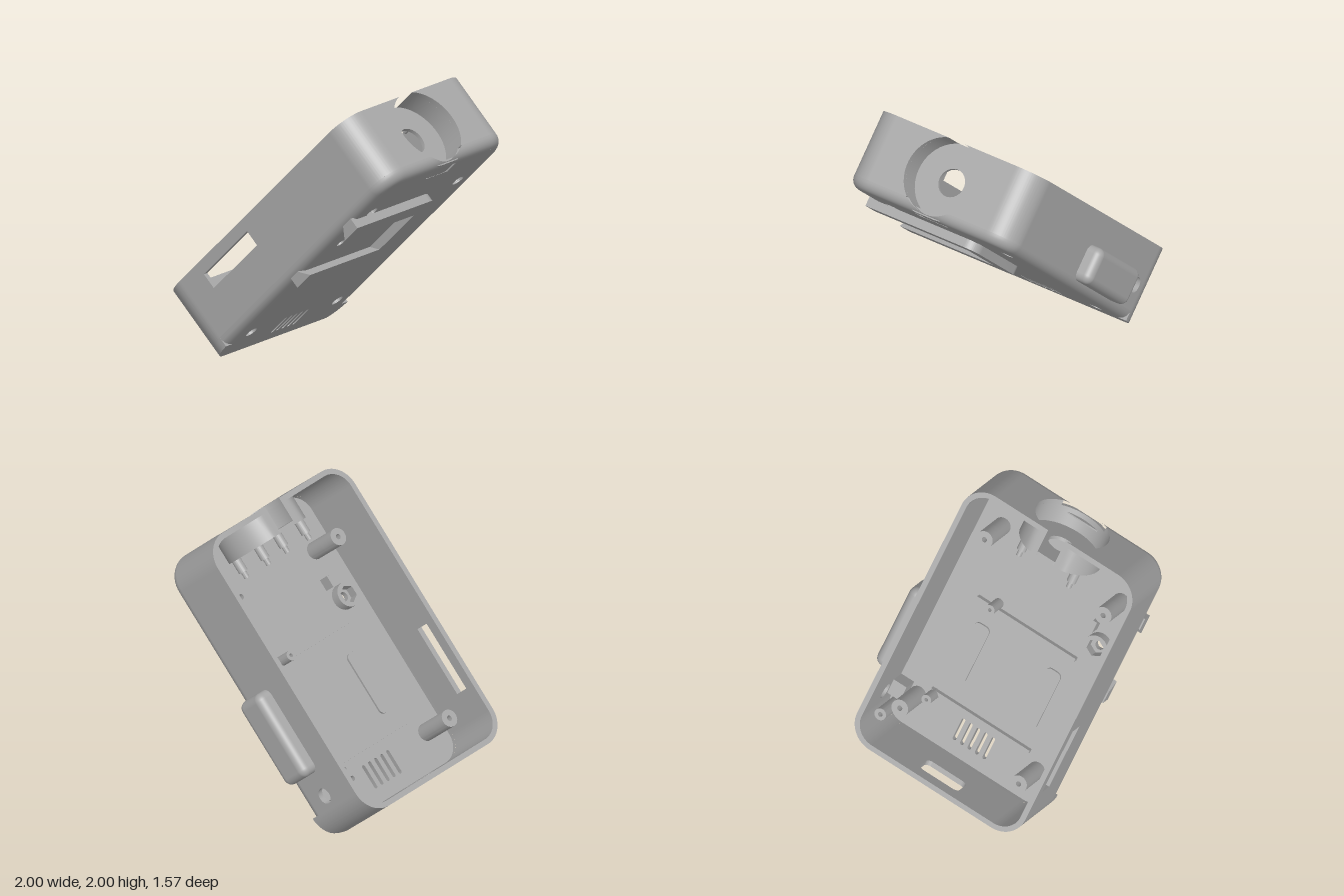
import * as THREE from 'three';
import { toCreasedNormals } from 'three/addons/utils/BufferGeometryUtils.js';
import { RoundedBoxGeometry } from 'three/addons/geometries/RoundedBoxGeometry.js';

// Case frame: u = along the case, b = across (-z), w = floor to open rim; tilted 45 degrees at the end.
const U0 = -0.43, U1 = 1.85, B0 = -0.78, B1 = 0.67, W0 = 0.4, WF = 0.445, W1 = 0.985;
const R = 0.2, T = 0.04, F = 0.08;            // corner radius, wall thickness, floor fillet
const CB = -0.055, CW = 0.705, CR = 0.29;     // round recess in the upper end

export function createModel() {
  const grey = new THREE.MeshStandardMaterial({ color: 0xa6a6a6 });
  grey.name = 'grey plastic';
  const model = new THREE.Group();
  model.name = 'tiltedCase';
  const body = new THREE.Group();
  body.name = 'caseBody';
  model.add(body);

  const add = (name, geo) => {
    const m = new THREE.Mesh(geo, grey);
    m.name = name;
    body.add(m);
    return m;
  };
  const A = new THREE.Vector3(1, 0, 0), B = new THREE.Vector3(0, 1, 0), C = new THREE.Vector3(0, 0, 1);
  // Shape axes: 'w' takes (u,b), 'u' takes (b,w), 'b' takes (w,u)
  const basis = { w: [A, B, C], u: [B, C, A], b: [C, A, B] };
  const extrude = (name, shape, axis, from, to) => {
    const g = new THREE.ExtrudeGeometry(shape, { depth: to - from, bevelEnabled: false, curveSegments: 20 });
    g.translate(0, 0, from);
    g.applyMatrix4(new THREE.Matrix4().makeBasis(...basis[axis]));
    return add(name, toCreasedNormals(g, 0.6));
  };
  const circle = (x, y, r, P = THREE.Path) => new P().absarc(x, y, r, 0, Math.PI * 2, false);
  const ring = (x, y, r, hole) => {
    const s = circle(x, y, r, THREE.Shape);
    if (hole) s.holes.push(circle(x, y, hole));
    return s;
  };
  const rect = (x0, y0, x1, y1, r = 0, P = THREE.Shape) => {
    const s = new P();
    if (!r) return s.setFromPoints([[x0, y0], [x1, y0], [x1, y1], [x0, y1], [x0, y0]].map(p => new THREE.Vector2(...p)));
    s.absarc(x1 - r, y0 + r, r, -Math.PI / 2, 0, false);
    s.absarc(x1 - r, y1 - r, r, 0, Math.PI / 2, false);
    s.absarc(x0 + r, y1 - r, r, Math.PI / 2, Math.PI, false);
    s.absarc(x0 + r, y0 + r, r, Math.PI, Math.PI * 1.5, false);
    return s.closePath();
  };
  const postSpots = [-0.131, 1.389].flatMap(u => [-0.57, 0.455].map(b => [u, b]));

  // Floor plate with screw holes, vents and nut hole
  const floor = rect(U0 + F, B0 + F, U1 - F, B1 - F, R - F);
  postSpots.forEach(([u, b]) => floor.holes.push(circle(u, b, 0.048)));
  for (let i = 0; i < 5; i++) {
    const b = -0.186 + i * 0.064;
    floor.holes.push(rect(-0.285, b - 0.014, -0.095, b + 0.014, 0.0135, THREE.Path));
  }
  floor.holes.push(circle(1.0, -0.575, 0.035));
  floor.holes.push(rect(1.655, CB - 0.13, 1.76, CB + 0.13, 0, THREE.Path));
  extrude('floor', floor, 'w', W0, WF);

  // Skirt: filleted edge between floor and walls, square at the lower end
  const cols = [];
  const corner = (u, b, start, sharp) => {
    for (let i = 0; i <= 12; i++) cols.push({ u, b, a: start + i / 12 * Math.PI / 2, sharp });
  };
  corner(U1 - R, B1 - R, 0, false);
  cols.push({ u: U0 + R, b: B1 - R, a: Math.PI / 2, sharp: false });
  corner(U0 + R, B1 - R, Math.PI / 2, true);
  corner(U0 + R, B0 + R, Math.PI, true);
  cols.push({ u: U0 + R, b: B0 + R, a: Math.PI * 1.5, sharp: false });
  corner(U1 - R, B0 + R, Math.PI * 1.5, false);
  for (let i = 1; i < 60; i++) cols.push({ u: U1 - R, b: B0 + R + i / 60 * (B1 - B0 - 2 * R), a: 0, sharp: false, end: true });
  const N = 8, pos = [], idx = [];
  cols.forEach(c => {
    const d = Math.abs(c.b - CB);
    const cap = c.end && d < CR ? Math.min(W0 + F, CW - Math.sqrt(CR * CR - d * d)) : W0 + F;
    const tMin = Math.asin(Math.min(1, (W0 + F - cap) / F));
    const prof = [];
    for (let k = 0; k <= N; k++) {
      const t = Math.max(tMin, k / N * Math.PI / 2);
      prof.push(c.sharp ? [0, W0 + F * (1 - k / N)] : [F * (1 - Math.cos(t)), W0 + F * (1 - Math.sin(t))]);
    }
    prof.push([F, W0], [F, Math.min(cap, WF)], [T, Math.min(cap, WF)], [T, cap]);
    prof.forEach(([inset, w]) => pos.push(
      Math.max(c.u + Math.cos(c.a) * (R - inset), -w), c.b + Math.sin(c.a) * (R - inset), w));
  });
  const P = N + 5;
  for (let i = 0; i < cols.length; i++) for (let k = 0; k < P - 1; k++) {
    const a = i * P + k, b = ((i + 1) % cols.length) * P + k;
    idx.push(a, a + 1, b, b, a + 1, b + 1);
  }
  const skirt = new THREE.BufferGeometry();
  skirt.setAttribute('position', new THREE.Float32BufferAttribute(pos, 3));
  skirt.setIndex(idx);
  add('floorEdge', toCreasedNormals(skirt, 0.6));

  // Walls: rounded corners, two sides, lower end, split upper end
  const WB = W0 + F;
  [[U1 - R, B1 - R], [U0 + R, B1 - R], [U0 + R, B0 + R], [U1 - R, B0 + R]].forEach(([u, b], i) => {
    const s = new THREE.Shape(), a = i * Math.PI / 2;
    s.absarc(u, b, R, a, a + Math.PI / 2, false);
    s.absarc(u, b, R - T, a + Math.PI / 2, a, true);
    extrude('cornerWall', s, 'w', WB, W1);
  });
  const left = rect(WB, U0 + R, W1, U1 - R);
  left.holes.push(rect(0.77, -0.014, 0.895, 0.53, 0, THREE.Path));
  extrude('leftWall', left, 'b', B0, B0 + T);
  const right = rect(WB, U0 + R, W1, U1 - R);
  right.holes.push(circle(0.658, -0.134, 0.06));
  extrude('rightWall', right, 'b', B1 - T, B1);
  const low = rect(B0 + R, WB, B1 - R, W1);
  low.holes.push(rect(-0.22, 0.7, 0.115, 0.878, 0.04, THREE.Path));
  extrude('lowerEndWall', low, 'u', U0, U0 + T);
  const aTop = Math.asin((W1 - CW) / CR), aBot = Math.asin((WB - CW) / CR);
  [1, -1].forEach(s => {
    const e = s > 0 ? B1 - R : B0 + R, f = a => (s > 0 ? a : Math.PI - a);
    const sh = new THREE.Shape();
    sh.moveTo(CB + s * CR * Math.cos(aBot), WB);
    sh.lineTo(e, WB);
    sh.lineTo(e, W1);
    sh.lineTo(CB + s * CR * Math.cos(aTop), W1);
    sh.absarc(CB, CW, CR, f(aTop), f(aBot), s > 0);
    extrude('upperEndWall', sh, 'u', U1 - T, U1);
  });

  // Round cup behind the upper end, open at the rim, with a bored base and four pegs
  const arc = (r, a0, a1) => Array.from({ length: 65 }, (_, i) => {
    const a = a0 + (a1 - a0) * i / 64;
    return new THREE.Vector2(CB + r * Math.cos(a), THREE.MathUtils.clamp(CW + r * Math.sin(a), 0.402, W1));
  });
  const aStart = Math.PI - aTop, aEnd = aTop + Math.PI * 2;
  extrude('cupWall', new THREE.Shape([...arc(CR + 0.03, aStart, aEnd), ...arc(CR, aEnd, aStart)]), 'u', 1.63, U1 - T);
  const cupBase = new THREE.Shape(arc(CR + 0.005, 0, Math.PI * 2).slice(0, 64));
  cupBase.holes.push(circle(CB, CW, 0.105));
  extrude('cupBase', cupBase, 'u', 1.632, 1.66);
  [-0.215, 0.215].forEach(db => [-0.15, 0.15].forEach(dw => {
    extrude('cupPeg', ring(CB + db, CW + dw, 0.035), 'u', 1.53, 1.635);
    extrude('cupPegTip', ring(CB + db, CW + dw, 0.02), 'u', 1.48, 1.53);
  }));

  // Screw posts, counterbored from below
  postSpots.forEach(([u, b]) => {
    extrude('screwPostBase', ring(u, b, 0.065, 0.047), 'w', 0.41, 0.62);
    extrude('screwPost', ring(u, b, 0.065, 0.02), 'w', 0.62, 0.767);
  });
  // Board supports
  [-0.035, 0.793].forEach(u => extrude('boardRail', rect(u, -0.47, u + 0.027, 0.38), 'w', WF - 0.01, 0.485));
  [[-0.045, 0.345], [0.845, 0.225]].forEach(([u, b]) => extrude('boardPeg', ring(u, b, 0.038, 0.014), 'w', WF - 0.01, 0.605));
  [-0.43, 0.185].forEach(b => extrude('floorPad', rect(0.14, b, 0.635, b + 0.125, 0.04), 'w', WF - 0.01, 0.462));
  // Hexagonal nut holder and the block beside it
  const nut = circle(1.0, -0.57, 0.095, THREE.Shape);
  nut.holes.push(new THREE.Path(Array.from({ length: 6 }, (_, i) =>
    new THREE.Vector2(1.0 + 0.068 * Math.cos(i * Math.PI / 3), -0.57 + 0.068 * Math.sin(i * Math.PI / 3)))));
  extrude('nutHolder', nut, 'w', WF - 0.01, 0.52);
  extrude('nutBlock', rect(1.1, -0.505, 1.19, -0.47), 'w', WF - 0.01, 0.54);
  // Small holder by the side hole
  extrude('sidePeg', ring(-0.24, 0.555, 0.045, 0.018), 'w', WF - 0.01, 0.8);
  extrude('sideBlock', rect(-0.18, 0.52, -0.06, 0.635), 'w', WF - 0.01, 0.58);

  // Rounded pod on the right side; its back half is squashed into the wall
  const pod = new RoundedBoxGeometry(0.69, 0.24, 0.28, 5, 0.06);
  const pp = pod.attributes.position;
  for (let i = 0; i < pp.count; i++) if (pp.getY(i) < 0) pp.setY(i, pp.getY(i) * 0.2);
  add('sidePod', pod).position.set(0.395, B1, 0.61);

  // Dovetail slide under the floor, open to the left
  const stop = new THREE.Shape();
  stop.moveTo(0.605, 0.045);
  stop.lineTo(1.36, 0.045);
  stop.absarc(1.26, 0.08, 0.1, 0, Math.PI / 2, false);
  stop.absarc(0.705, 0.08, 0.1, Math.PI / 2, Math.PI, false);
  extrude('slideStop', stop, 'w', 0.335, 0.41);
  const rail = pts => new THREE.Shape(pts.map(p => new THREE.Vector2(...p)));
  extrude('lowerSlideRail', rail([[0.335, 0.605], [0.42, 0.605], [0.42, 0.69], [0.335, 0.767]]), 'b', B0, 0.046);
  extrude('upperSlideRail', rail([[0.335, 1.2], [0.42, 1.265], [0.42, 1.36], [0.335, 1.36]]), 'b', B0, 0.046);

  // Stand the case on its lower edge, tilted 45 degrees
  const h = Math.SQRT1_2;
  body.applyMatrix4(new THREE.Matrix4().makeBasis(
    new THREE.Vector3(h, h, 0), new THREE.Vector3(0, 0, -1), new THREE.Vector3(-h, h, 0)));
  return model;
}
